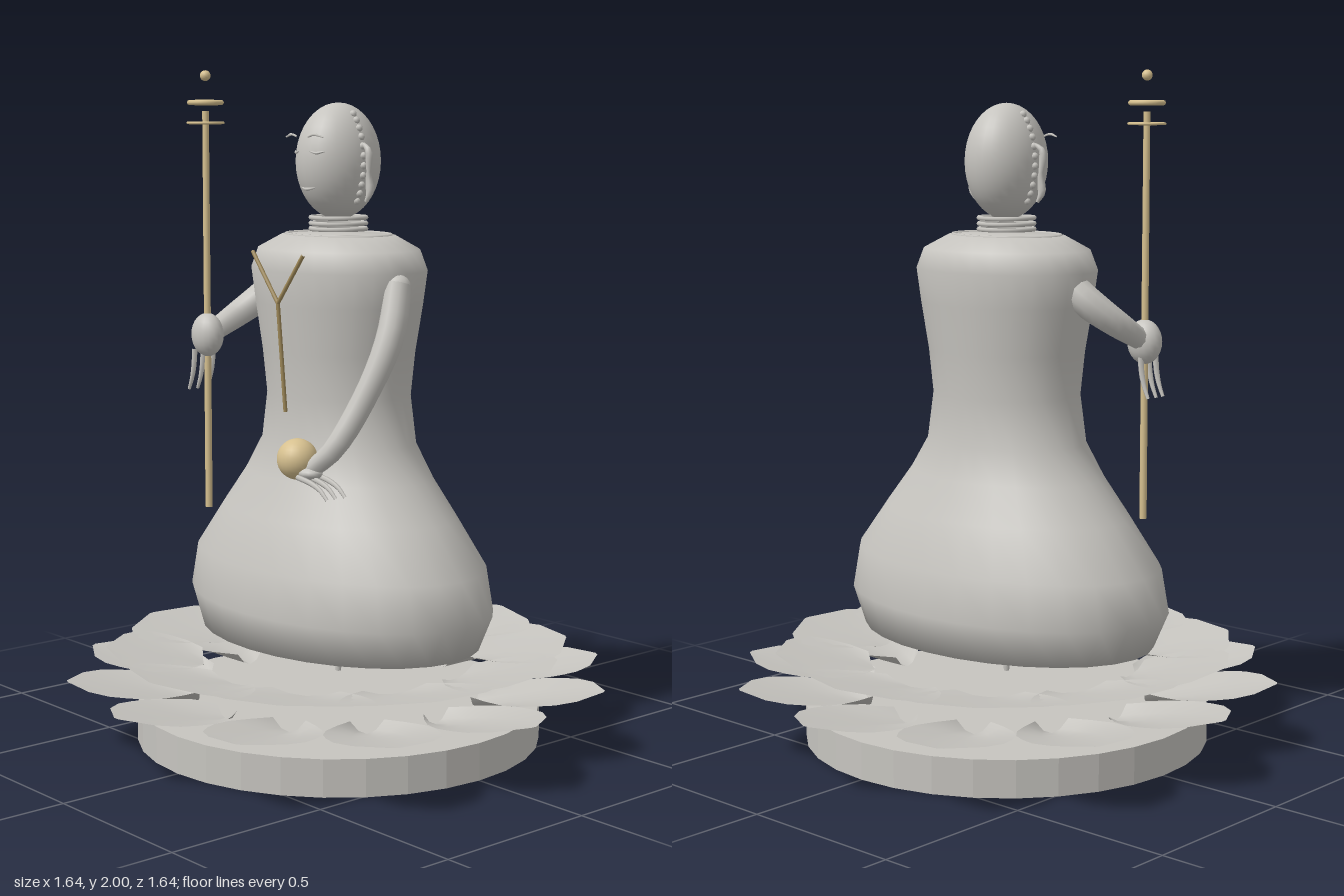
import * as THREE from 'three';
import { mergeVertices } from 'three/addons/utils/BufferGeometryUtils.js';

export function createModel() {
  const root = new THREE.Group();
  const stone = new THREE.MeshStandardMaterial({ color: 0xc6c4bf });
  stone.name = 'stone';
  const petalStone = new THREE.MeshStandardMaterial({ color: 0xc6c4bf, side: THREE.DoubleSide });
  petalStone.name = 'petalStone';
  const gold = new THREE.MeshStandardMaterial({ color: 0xd6c08f });
  gold.name = 'gold';
  const trimGold = new THREE.MeshStandardMaterial({ color: 0xa08a5a });
  trimGold.name = 'trimGold';

  const add = (name, geo, mat, x = 0, y = 0, z = 0, parent = root) => {
    const m = new THREE.Mesh(geo, mat);
    m.name = name;
    m.position.set(x, y, z);
    parent.add(m);
    return m;
  };
  const V = (p) => new THREE.Vector3(...p);

  // Tapered, capped tube through a few points
  const limb = (pts, radii, sides = 10, steps = 14) => {
    const curve = new THREE.CatmullRomCurve3(pts.map(V));
    const geo = new THREE.TubeGeometry(curve, steps, 1, sides);
    const pos = geo.attributes.position, v = new THREE.Vector3();
    for (let i = 0; i <= steps; i++) {
      const c = curve.getPointAt(i / steps);
      const f = (i / steps) * (radii.length - 1), k = Math.min(Math.floor(f), radii.length - 2);
      const r = THREE.MathUtils.lerp(radii[k], radii[k + 1], f - k);
      for (let j = 0; j <= sides; j++) {
        const n = i * (sides + 1) + j;
        v.fromBufferAttribute(pos, n).sub(c).multiplyScalar(r).add(c);
        pos.setXYZ(n, v.x, v.y, v.z);
      }
    }
    return geo;
  };

  // Stack of elliptical sections: [half width, y, half depth]
  const ellipticLathe = (sections, sides) => {
    const geo = new THREE.LatheGeometry(sections.map(([x, y]) => new THREE.Vector2(x, y)), sides);
    const pos = geo.attributes.position;
    for (let i = 0; i < pos.count; i++) {
      const [rx, , rz] = sections[i % sections.length];
      if (rx > 0) pos.setZ(i, pos.getZ(i) * rz / rx);
    }
    geo.deleteAttribute('uv');
    geo.deleteAttribute('normal');
    const merged = mergeVertices(geo, 1e-5);
    merged.computeVertexNormals();
    return merged;
  };

  // Lotus throne: plinth, stem and two tiers of petals
  const plinth = new THREE.CylinderGeometry(0.61, 0.61, 0.11, 32).toNonIndexed();
  plinth.computeVertexNormals();
  add('plinth', plinth, stone, 0, 0.055, 0);
  add('stem', new THREE.CylinderGeometry(0.02, 0.008, 0.13, 8), stone, 0, 0.26, 0);

  const petal = (r0, r1, y0, y1, widths, cup) => {
    const rows = widths.length - 1;
    const geo = new THREE.PlaneGeometry(2, 1, 4, rows);
    const pos = geo.attributes.position;
    for (let i = 0; i < pos.count; i++) {
      const u = pos.getX(i), t = 0.5 - pos.getY(i);
      const w = widths[Math.round(t * rows)];
      pos.setXYZ(i, u * w, y0 + (y1 - y0) * t + cup * u * u * (1 - t), r0 + (r1 - r0) * t);
    }
    geo.computeVertexNormals();
    return geo;
  };
  const tier = (name, count, geo) => {
    for (let i = 0; i < count; i++) {
      add(name, geo, petalStone).rotation.y = (i / count) * Math.PI * 2;
    }
  };
  tier('lowerPetal', 12, petal(0.43, 0.82, 0.125, 0.205, [0.05, 0.1, 0.14, 0.16, 0.16, 0.15, 0.11, 0.01], 0.04));
  tier('upperPetal', 10, petal(0.41, 0.7, 0.23, 0.285, [0.1, 0.17, 0.21, 0.235, 0.23, 0.17, 0.01], 0.02));

  // Robe over the folded legs and torso
  add('robe', ellipticLathe([
    [0, 0.32, 0], [0.5, 0.32, 0.345], [0.555, 0.43, 0.362], [0.53, 0.56, 0.345], [0.42, 0.7, 0.285],
    [0.33, 0.81, 0.235], [0.265, 0.91, 0.2], [0.238, 1.05, 0.195], [0.252, 1.18, 0.207],
    [0.282, 1.32, 0.22], [0.298, 1.42, 0.23], [0.27, 1.48, 0.215], [0.19, 1.52, 0.15], [0, 1.525, 0],
  ], 28), stone);
  const collar = add('collar', new THREE.TorusGeometry(0.175, 0.008, 6, 28), stone, 0, 1.518, 0);
  collar.rotation.x = Math.PI / 2;
  collar.scale.y = 0.78;

  // Neck folds
  for (const y of [1.537, 1.553, 1.57]) {
    add('neckFold', new THREE.TorusGeometry(0.082, 0.007, 6, 24), stone, 0, y, 0).rotation.x = Math.PI / 2;
  }

  // Head with ears, face lines and a beaded hairline
  const head = new THREE.Group();
  head.name = 'head';
  head.position.y = 1.735;
  root.add(head);
  add('skull', new THREE.SphereGeometry(1, 28, 20), stone, 0, 0, 0, head).scale.set(0.112, 0.17, 0.135);
  for (const s of [-1, 1]) {
    add('ear', limb([[s * 0.112, 0.05, 0], [s * 0.138, 0.03, 0.004], [s * 0.134, -0.04, 0], [s * 0.138, -0.09, 0], [s * 0.122, -0.115, 0]],
      [0.006, 0.012, 0.007, 0.013, 0.005], 8), stone, 0, 0, 0, head);
    for (let i = 0; i < 11; i++) {
      const a = -0.75 + i * 0.17;
      add('hairBead', new THREE.SphereGeometry(0.011, 8, 6), stone,
        s * 0.111 * Math.cos(a), 0.168 * Math.sin(a), 0, head);
    }
    add('eyebrow', limb([[s * 0.025, 0.072, 0.137], [s * 0.05, 0.078, 0.136], [s * 0.085, 0.07, 0.128]],
      [0.003, 0.004, 0.002], 6, 8), stone, 0, 0, 0, head);
    add('eye', limb([[s * 0.025, 0.03, 0.13], [s * 0.045, 0.025, 0.124], [s * 0.065, 0.03, 0.109]],
      [0.002, 0.004, 0.002], 6, 8), stone, 0, 0, 0, head);
  }
  add('mouth', limb([[-0.03, -0.075, 0.115], [0, -0.08, 0.122], [0.03, -0.075, 0.115]],
    [0.002, 0.005, 0.002], 6, 8), stone, 0, 0, 0, head);

  // Left arm, resting hand and orb
  add('leftArm', limb([[0.285, 1.39, 0.02], [0.303, 1.24, 0.07], [0.265, 1.06, 0.14], [0.21, 0.92, 0.205], [0.14, 0.86, 0.225]],
    [0.04, 0.042, 0.036, 0.034, 0.026]), stone);
  add('leftShoulderCap', new THREE.SphereGeometry(0.04, 12, 8), stone, 0.283, 1.38, 0.022);
  add('leftPalm', new THREE.SphereGeometry(1, 14, 10), stone, 0.14, 0.85, 0.23).scale.set(0.04, 0.02, 0.035);
  for (const z of [0.2, 0.235, 0.268]) {
    add('leftFinger', limb([[0.13, 0.84, z], [0.19, 0.83, z], [0.23, 0.815, z], [0.26, 0.79, z]],
      [0.008, 0.008, 0.005], 6, 8), stone);
  }
  add('orb', new THREE.SphereGeometry(0.06, 24, 16), gold, 0.09, 0.885, 0.235);

  // Right arm and hand gripping the staff
  add('rightArm', limb([[-0.23, 1.39, 0], [-0.3, 1.33, 0.03], [-0.345, 1.27, 0.1], [-0.345, 1.22, 0.2]],
    [0.05, 0.047, 0.04, 0.032]), stone);
  add('rightHand', new THREE.SphereGeometry(1, 18, 14), stone, -0.345, 1.21, 0.225).scale.set(0.056, 0.066, 0.045);
  for (const z of [0.2, 0.238, 0.27]) {
    add('rightFinger', limb([[-0.35, 1.17, z], [-0.355, 1.12, z], [-0.365, 1.08, z], [-0.38, 1.045, z]],
      [0.009, 0.008, 0.005], 6, 8), stone);
  }

  // Staff with rings and finial
  const staff = new THREE.Group();
  staff.name = 'staff';
  staff.position.set(-0.345, 0, 0.225);
  root.add(staff);
  add('staffPole', new THREE.CylinderGeometry(0.01, 0.011, 1.2, 12), gold, 0, 1.28, 0, staff);
  for (const [r, t, y] of [[0.053, 0.004, 1.845], [0.047, 0.008, 1.905]]) {
    add('staffRing', new THREE.TorusGeometry(r, t, 8, 28), gold, 0, y, 0, staff).rotation.x = Math.PI / 2;
  }
  add('staffFinial', new THREE.SphereGeometry(0.016, 14, 10), gold, 0, 1.984, 0, staff);

  // Y-shaped robe trim
  for (const end of [[-0.115, 1.475, 0.232], [0.115, 1.475, 0.232], [0, 1.01, 0.205]]) {
    add('robeTrim', new THREE.TubeGeometry(new THREE.LineCurve3(V([0, 1.33, 0.232]), V(end)), 1, 0.006, 8), trimGold);
  }
  return root;
}
